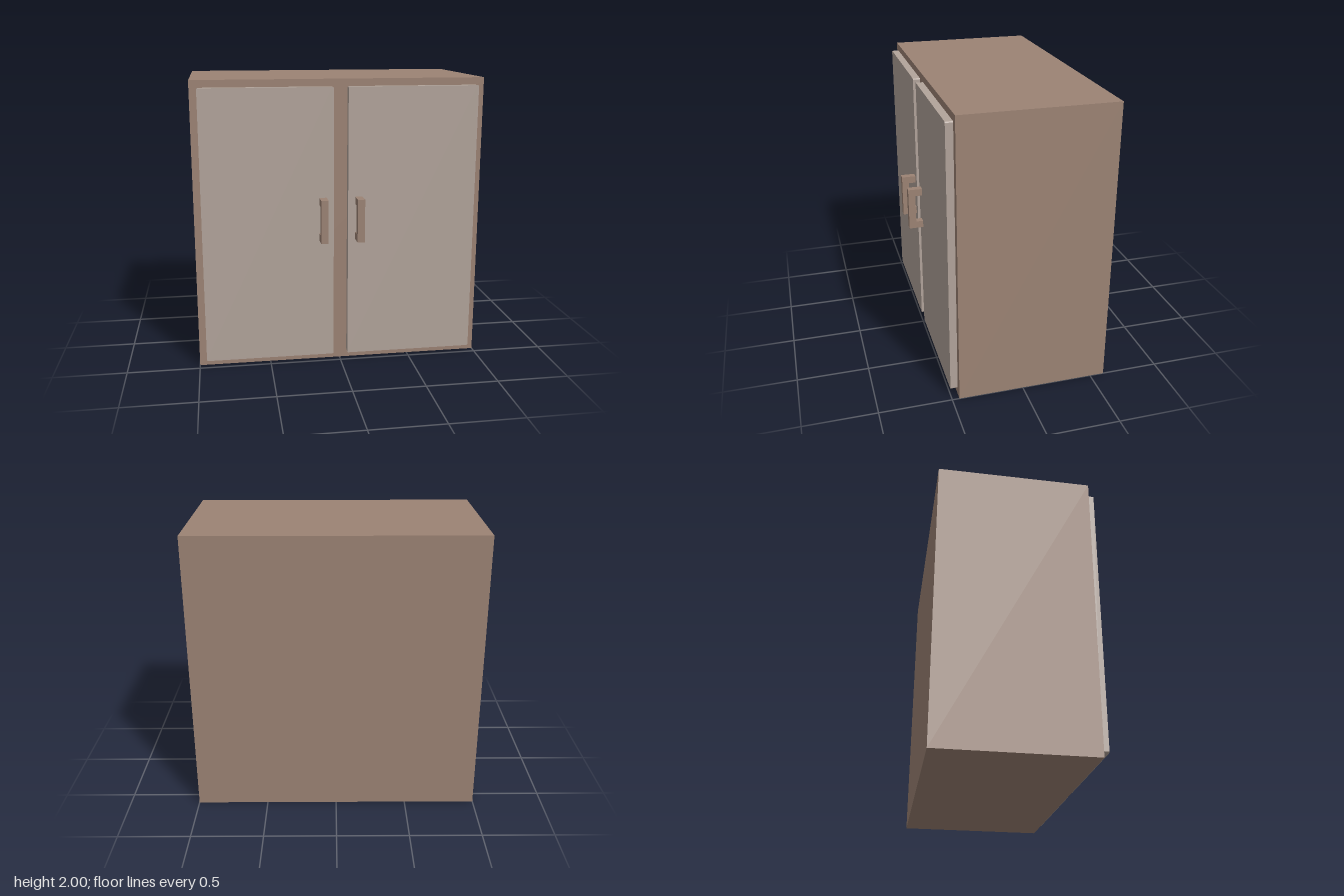
import * as THREE from 'three';

const material = (name, color) => {
  const m = new THREE.MeshStandardMaterial({ color });
  m.name = name;
  return m;
};

// Rectangle outline with slightly rounded corners
function roundedRect(w, h, r) {
  const s = new THREE.Shape();
  s.moveTo(r, 0);
  s.lineTo(w - r, 0);
  s.absarc(w - r, r, r, -Math.PI / 2, 0);
  s.absarc(w - r, h - r, r, 0, Math.PI / 2);
  s.absarc(r, h - r, r, Math.PI / 2, Math.PI);
  s.absarc(r, r, r, Math.PI, Math.PI * 1.5);
  return s;
}

export function createModel() {
  const wood = material('brown wood', 0x9c8374);
  const panel = material('pale door panel', 0xb2a49b);
  const model = new THREE.Group();
  model.name = 'cabinet';

  const add = (name, geometry, mat, x, y, z) => {
    const mesh = new THREE.Mesh(geometry, mat);
    mesh.name = name;
    mesh.position.set(x, y, z);
    model.add(mesh);
  };

  // Cabinet body
  add('body', new THREE.BoxGeometry(2, 2, 1.05), wood, 0, 1, -0.075);

  // Door slab, lower left corner at the origin
  const doorGeometry = new THREE.ExtrudeGeometry(roundedRect(0.9, 1.9, 0.01), {
    depth: 0.05, bevelEnabled: false, curveSegments: 3,
  });

  // C-shaped pull drawn in side profile (depth, height), extruded across its width
  const profile = [[0, 0], [0.1, 0], [0.1, 0.3], [0, 0.3], [0, 0.25], [0.05, 0.25], [0.05, 0.05], [0, 0.05]];
  const handleGeometry = new THREE.ExtrudeGeometry(
    new THREE.Shape(profile.map(([x, y]) => new THREE.Vector2(x, y))),
    { depth: 0.05, bevelEnabled: false },
  );
  handleGeometry.rotateY(-Math.PI / 2).translate(0.025, 0, 0);

  // Mirrored pair of doors and pulls
  for (const [side, sign] of [['left', 1], ['right', -1]]) {
    add(`${side}Door`, doorGeometry, panel, sign * 0.5 - 0.45, 0.05, 0.45);
    add(`${side}Handle`, handleGeometry, wood, sign * 0.125, 0.9, 0.5);
  }
  return model;
}
